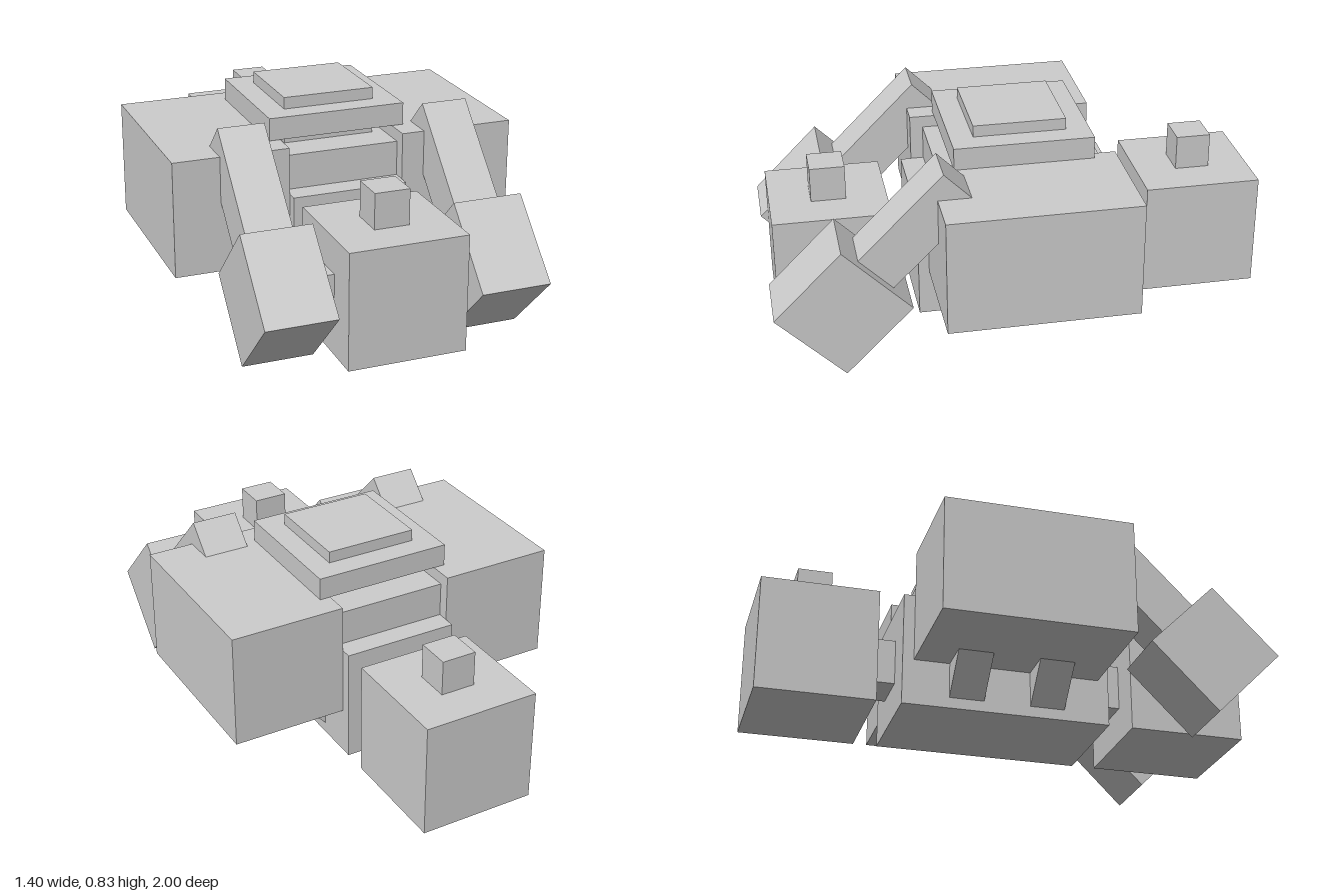
import * as THREE from 'three';

const material = new THREE.MeshStandardMaterial({ color: 0xcccccc, flatShading: true });

export function createModel() {
  const model = new THREE.Group();

  // Box from its [min, max] extents on each axis
  function box(name, [x0, x1], [y0, y1], [z0, z1]) {
    const mesh = new THREE.Mesh(new THREE.BoxGeometry(x1 - x0, y1 - y0, z1 - z0), material);
    mesh.position.set((x0 + x1) / 2, (y0 + y1) / 2, (z0 + z1) / 2);
    mesh.name = name;
    model.add(mesh);
    return mesh;
  }

  // Box from its size and centre, turned about x or z
  function tilted(name, size, centre, rx, rz) {
    const mesh = new THREE.Mesh(new THREE.BoxGeometry(...size), material);
    mesh.position.set(...centre);
    mesh.rotation.set(rx, 0, rz);
    mesh.name = name;
    model.add(mesh);
  }

  const wide = [-0.235, 0.235];

  // Central hull and stepped turret
  box('hull', wide, [0.035, 0.5], [-0.435, 0.405]);
  box('upperHull', wide, [0.5, 0.64], [-0.345, 0.31]);
  box('turretNeck', [-0.187, 0.187], [0.64, 0.69], [-0.2, 0.17]);
  box('turretSlab', [-0.28, 0.28], [0.69, 0.78], [-0.295, 0.262]);
  box('turretCap', [-0.187, 0.187], [0.78, 0.827], [-0.2, 0.17]);

  // Front and rear blocks with couplings and top studs
  box('frontBlock', wide, [0.035, 0.5], [0.502, 0.97]);
  box('rearBlock', wide, [0.035, 0.5], [-1, -0.532]);
  box('frontCoupling', [-0.093, 0.093], [0.175, 0.36], [0.39, 0.52]);
  box('rearCoupling', [-0.093, 0.093], [0.175, 0.36], [-0.55, -0.42]);
  box('frontStud', [-0.07, 0.07], [0.5, 0.642], [0.665, 0.805]);
  box('rearStud', [-0.07, 0.07], [0.5, 0.642], [-0.837, -0.697]);

  for (const [side, s] of [['left', 1], ['right', -1]]) {
    const span = (a, b) => (s > 0 ? [a, b] : [-b, -a]);

    // Large side pod and the two diagonal struts that carry it
    box(side + 'Pod', span(0.235, 0.7), [0.222, 0.688], [-0.39, 0.362]);
    for (const z of [0.15, -0.177]) {
      tilted(side + 'Strut', [0.3, 0.14, 0.14], [s * 0.26, 0.203, z], 0, s * Math.PI / 4);
    }

    // Arm sloping down and forward into a diagonal fist
    tilted(side + 'Arm', [0.186, 0.186, 0.655], [s * 0.42, 0.497, 0.504], Math.PI / 4, 0);
    tilted(side + 'Fist', [0.28, 0.374, 0.374], [s * 0.422, 0.265, 0.735], Math.PI / 4, 0);
    box(side + 'FistLink', span(0.22, 0.3), [0.175, 0.36], [0.642, 0.828]);
  }

  return model;
}
